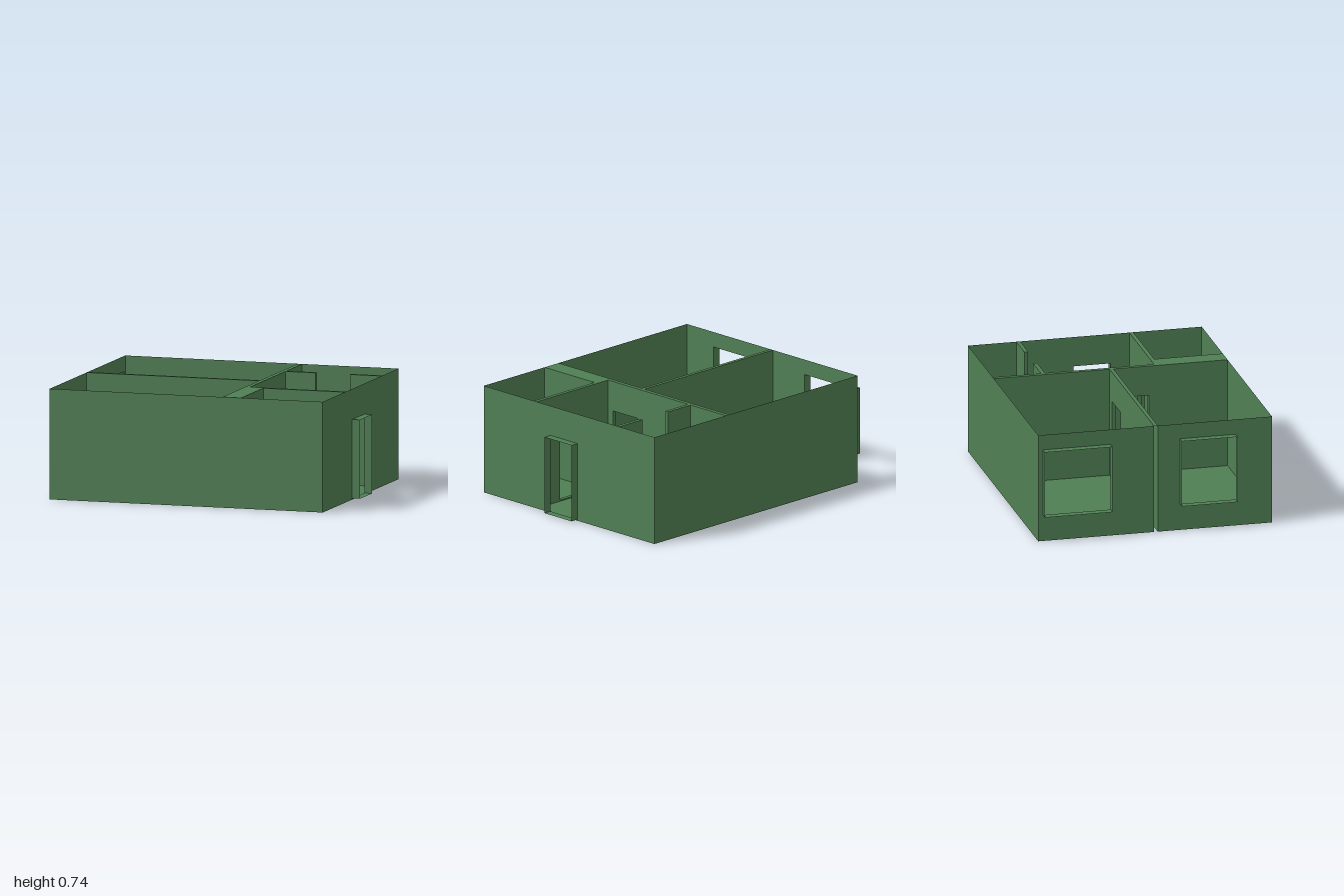
import * as THREE from 'three';

const H = 0.735; // wall height
const X0 = -0.945, X1 = 0.945, Z0 = -0.793, Z1 = 0.791;
const DOOR_Y = [0.008, 0.532];
const WINDOW_Y = [0.18, 0.632];

export function createModel() {
  const model = new THREE.Group();
  model.name = 'apartment';
  const material = new THREE.MeshStandardMaterial({ color: 0x507f54, side: THREE.DoubleSide, flatShading: true });

  const add = (name, geometry) => {
    const mesh = new THREE.Mesh(geometry, material);
    mesh.name = name;
    model.add(mesh);
    return mesh;
  };

  // Turns a geometry drawn in (u, y, w) so that u runs along x or along z
  const orient = (geometry, along) => (along === 'z' ? geometry.rotateY(-Math.PI / 2) : geometry);

  const rectangle = (target, u0, u1, y0, y1) => {
    target.moveTo(u0, y0);
    target.lineTo(u1, y0);
    target.lineTo(u1, y1);
    target.lineTo(u0, y1);
    target.closePath();
    return target;
  };

  // Thin upright wall at a fixed x or z; holes are [u0, u1, y0, y1]
  const wall = (name, along, at, u0, u1, holes = []) => {
    const shape = rectangle(new THREE.Shape(), u0, u1, 0, H);
    holes.forEach((h) => shape.holes.push(rectangle(new THREE.Path(), ...h)));
    const mesh = add(name, orient(new THREE.ShapeGeometry(shape), along));
    mesh.position[along === 'z' ? 'x' : 'z'] = at;
  };

  // Open rectangular lining between two wall planes
  const lining = (name, along, [u0, u1, y0, y1], from, to) => {
    const corners = [[u0, y0], [u1, y0], [u1, y1], [u0, y1]];
    const positions = [];
    corners.forEach(([ua, ya], i) => {
      const [ub, yb] = corners[(i + 1) % 4];
      const quad = [[ua, ya, from], [ub, yb, from], [ub, yb, to], [ua, ya, to]];
      [0, 1, 2, 0, 2, 3].forEach((k) => {
        const [u, y, w] = quad[k];
        positions.push(...(along === 'z' ? [w, y, u] : [u, y, w]));
      });
    });
    const geometry = new THREE.BufferGeometry();
    geometry.setAttribute('position', new THREE.Float32BufferAttribute(positions, 3));
    geometry.computeVertexNormals();
    add(name, geometry);
  };

  // Horizontal panel facing up
  const slab = (name, x0, x1, z0, z1, y) => {
    const geometry = new THREE.PlaneGeometry(x1 - x0, z1 - z0).rotateX(-Math.PI / 2);
    add(name, geometry).position.set((x0 + x1) / 2, y, (z0 + z1) / 2);
  };

  // Planes of the inner walls
  const xa = 0.25, xb = 0.28, xc = 0.38;
  const za = -0.008, zb = 0.017, zc = 0.3, zd = 0.327;

  // Openings
  const entrance = [-0.079, 0.174, ...DOOR_Y];
  const backWindow = [-0.762, -0.302, ...WINDOW_Y];
  const frontWindow = [0.168, 0.546, ...WINDOW_Y];
  const bedroomDoor = [-0.045, 0.19, ...DOOR_Y];
  const hallDoor = [0.03, 0.257, ...DOOR_Y];
  const closetDoor = [0.54, 0.728, ...DOOR_Y];

  // Floors of the four rooms
  slab('backRoomFloor', X0, xa, Z0, za, 0);
  slab('frontRoomFloor', X0, xa, zb, Z1, 0);
  slab('hallFloor', xb, X1, Z0, zc, 0);
  slab('sideRoomFloor', xc, X1, zd, Z1, 0);

  // Outer walls
  wall('frontWall', 'x', Z1, X0, X1);
  wall('backWall', 'x', Z0, X0, X1);
  wall('entranceWall', 'z', X1, Z0, Z1, [entrance]);
  wall('backWindowWall', 'z', X0, Z0, za, [backWindow]);
  wall('frontWindowWall', 'z', X0, zb, Z1, [frontWindow]);

  // Inner walls, in pairs with a gap between
  wall('backRoomDoorWall', 'x', za, X0, xa, [bedroomDoor]);
  wall('frontRoomDoorWall', 'x', zb, X0, xa, [bedroomDoor]);
  wall('backRoomSideWall', 'z', xa, Z0, za);
  wall('frontRoomSideWall', 'z', xa, zb, Z1, [hallDoor]);
  wall('hallSideWall', 'z', xb, Z0, zc, [hallDoor]);
  wall('hallFrontWall', 'x', zc, xb, X1, [closetDoor]);
  wall('sideRoomBackWall', 'x', zd, xc, X1, [closetDoor]);
  wall('sideRoomSideWall', 'z', xc, zd, Z1);

  // Caps closing the gaps between the wall pairs
  slab('roomWallCap', X0, xa, za, zb, H);
  slab('spineWallCap', xa, xb, Z0, zc, H);
  slab('hallWallCap', xa, X1, zc, zd, H);
  slab('wideWallCap', xa, xc, zd, Z1, H);

  // Door and window linings
  lining('entranceFrame', 'z', entrance, X1, 1);
  lining('backWindowFrame', 'z', backWindow, X0, -1);
  lining('frontWindowFrame', 'z', frontWindow, X0, -1);
  lining('bedroomDoorLining', 'x', bedroomDoor, za, zb);
  lining('hallDoorLining', 'z', hallDoor, xa, xb);
  lining('closetDoorLining', 'x', closetDoor, zc, zd);

  // Stub walls either side of the passage in the hall
  [[xb, 0.49], [0.728, X1]].forEach(([x0, x1]) => {
    const geometry = new THREE.BoxGeometry(x1 - x0, H, 0.026);
    add('passageStubWall', geometry).position.set((x0 + x1) / 2, H / 2, -0.453);
  });

  return model;
}
